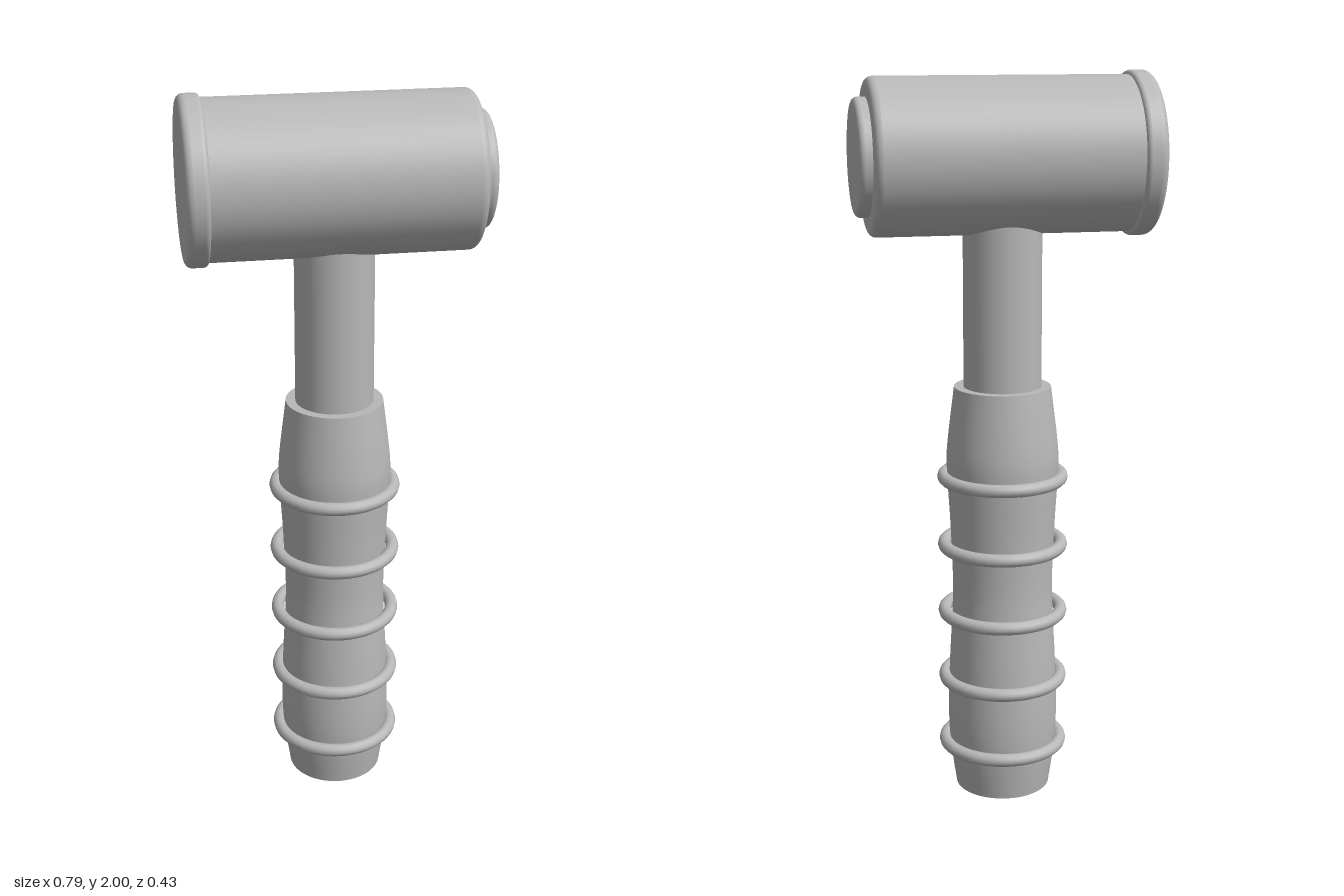
import * as THREE from 'three';

const metal = new THREE.MeshStandardMaterial({ color: 0xb8b8b8 });
metal.name = 'plain grey';

const HEAD_Y = 1.784;

function part(name, geometry, parent) {
  const mesh = new THREE.Mesh(geometry, metal);
  mesh.name = name;
  parent.add(mesh);
  return mesh;
}

// Closed lathe; points named sharp are doubled so their edge stays crisp
function turned(profile, segments = 64) {
  const points = [];
  for (const [r, y, sharp] of profile) {
    points.push(new THREE.Vector2(r, y));
    if (sharp) points.push(new THREE.Vector2(r, y));
  }
  return new THREE.LatheGeometry(points, segments);
}

// Disc from y0 to y1 with rounded rims of radius a (lower) and b (upper)
function roundedDisc(radius, y0, y1, a, b) {
  const profile = [[0, y0]];
  const steps = 6;
  const rim = (y, bevel, from) => {
    if (!bevel) return profile.push([radius, y, true]);
    for (let i = 0; i <= steps; i++) {
      const t = from + (i / steps) * Math.PI / 2;
      profile.push([radius - bevel + bevel * Math.cos(t), y + bevel * Math.sin(t), i === 0 || i === steps]);
    }
  };
  rim(a ? y0 + a : y0, a, -Math.PI / 2);
  rim(b ? y1 - b : y1, b, 0);
  profile.push([0, y1]);
  return turned(profile);
}

export function createModel() {
  const model = new THREE.Group();
  model.name = 'mallet';

  // Grip with a slight waist
  const grip = new THREE.Group();
  grip.name = 'grip';
  model.add(grip);
  const side = new THREE.SplineCurve([
    [0.132, 0], [0.146, 0.1], [0.153, 0.2], [0.15, 0.35], [0.141, 0.52],
    [0.139, 0.62], [0.145, 0.78], [0.153, 0.92], [0.152, 1.0], [0.132, 1.165],
  ].map(([r, y]) => new THREE.Vector2(r, y))).getPoints(36);
  part('gripBody', turned([
    [0, 0],
    ...side.map((p, i) => [p.x, p.y, i === 0 || i === 36]),
    [0, 1.165],
  ]), grip);

  // Evenly spaced grip rings
  for (let i = 0; i < 5; i++) {
    const ring = part('gripRing', new THREE.TorusGeometry(0.162, 0.018, 12, 64), grip);
    ring.rotation.x = Math.PI / 2;
    ring.position.y = 0.132 + i * 0.195;
  }

  // Shaft running into the head
  const shaft = part('shaft', new THREE.CylinderGeometry(0.106, 0.106, 0.53, 48), model);
  shaft.position.y = 1.395;

  // Head lies along x
  const head = new THREE.Group();
  head.name = 'head';
  head.position.y = HEAD_Y;
  head.rotation.z = -Math.PI / 2;
  model.add(head);
  part('headBarrel', roundedDisc(0.206, -0.36, 0.36, 0, 0.02), head);
  part('rearCollar', roundedDisc(0.217, -0.394, -0.334, 0.02, 0.012), head);
  part('strikingFace', roundedDisc(0.154, 0.34, 0.394, 0, 0.015), head);

  return model;
}
